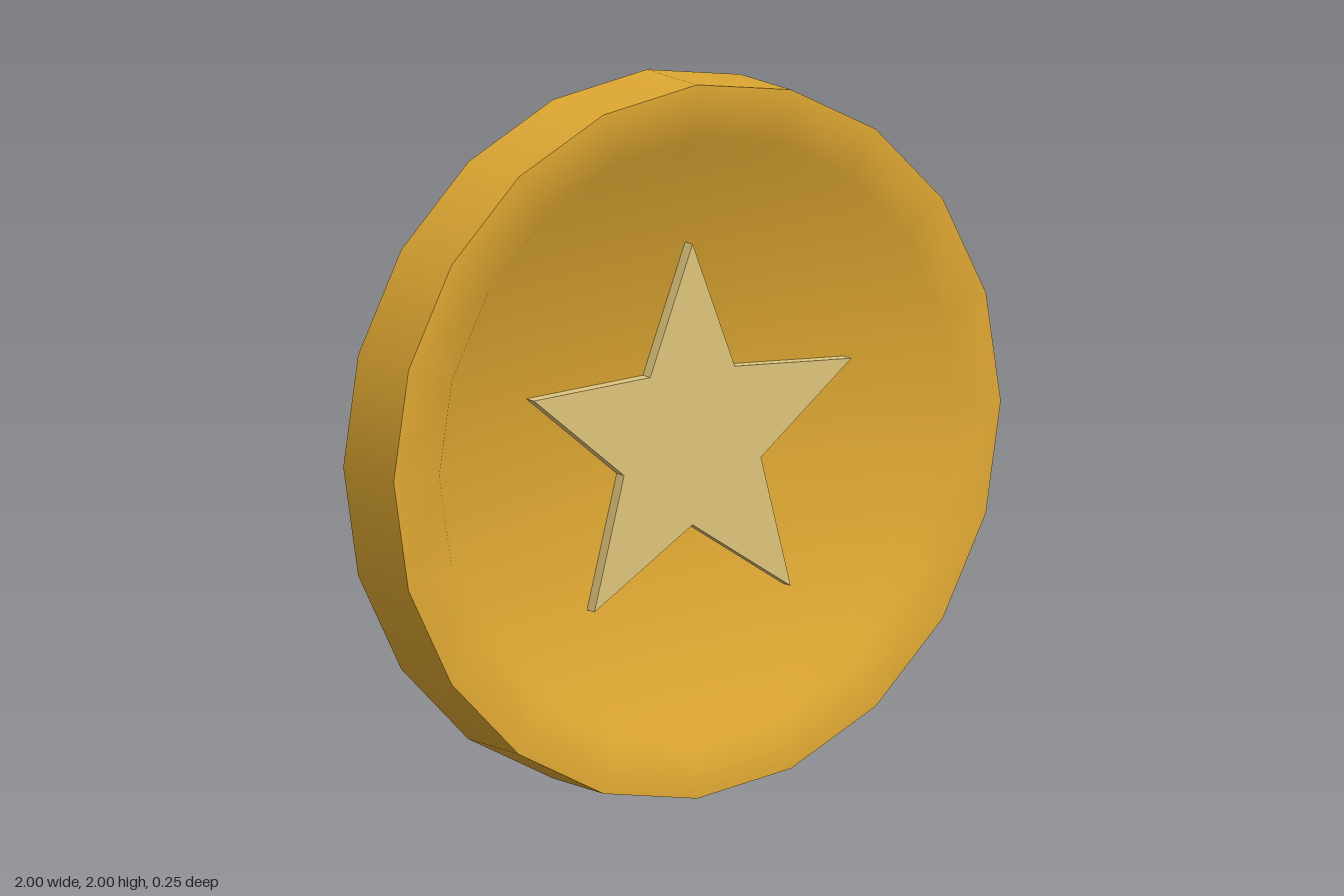
import * as THREE from 'three';

const SIDES = 20, HALF = 0.125, FLOOR = 0.065;

// Dished face: [radius, height, inward tilt of the smooth normal]
const PROFILE = [
  [1, HALF, 0],
  [0.85, HALF, Math.PI / 8],
  [0.79, FLOOR, Math.PI / 8],
  [0, FLOOR, 0],
];

function dishGeometry() {
  const geo = new THREE.LatheGeometry(PROFILE.map(([r, h]) => new THREE.Vector2(r, h)), SIDES);
  const normal = geo.attributes.normal;
  for (let i = 0; i <= SIDES; i++) {
    const a = (i / SIDES) * Math.PI * 2;
    PROFILE.forEach(([, , tilt], j) => {
      const s = -Math.sin(tilt);
      normal.setXYZ(i * PROFILE.length + j, s * Math.sin(a), Math.cos(tilt), s * Math.cos(a));
    });
  }
  return geo.rotateX(Math.PI / 2);
}

function starGeometry() {
  const shape = new THREE.Shape();
  for (let i = 0; i < 10; i++) {
    const r = i % 2 ? 0.237 : 0.55;
    const a = Math.PI / 2 + (i * Math.PI) / 5;
    shape[i ? 'lineTo' : 'moveTo'](r * Math.cos(a), r * Math.sin(a));
  }
  shape.closePath();
  return new THREE.ExtrudeGeometry(shape, { depth: 0.05, bevelEnabled: false }).translate(0, 0, FLOOR - 0.013);
}

export function createModel() {
  const gold = new THREE.MeshStandardMaterial({ color: 0xdfa832 });
  gold.name = 'gold';
  const paleGold = new THREE.MeshStandardMaterial({ color: 0xdec57c });
  paleGold.name = 'paleGold';

  const coin = new THREE.Group();
  coin.name = 'coin';
  const add = (parent, name, geo, mat) => {
    const mesh = new THREE.Mesh(geo, mat);
    mesh.name = name;
    parent.add(mesh);
  };

  // Outer edge
  const band = new THREE.LatheGeometry([new THREE.Vector2(1, -HALF), new THREE.Vector2(1, HALF)], SIDES);
  add(coin, 'edgeBand', band.rotateX(Math.PI / 2), gold);

  // Matching front and back faces, each with a raised star
  const dish = dishGeometry(), star = starGeometry();
  ['front', 'back'].forEach((side, i) => {
    const face = new THREE.Group();
    face.name = side + 'Face';
    face.rotation.y = i * Math.PI;
    add(face, side + 'Dish', dish, gold);
    add(face, side + 'Star', star, paleGold);
    coin.add(face);
  });

  coin.position.y = 1;
  const model = new THREE.Group();
  model.name = 'starCoin';
  model.add(coin);
  return model;
}
